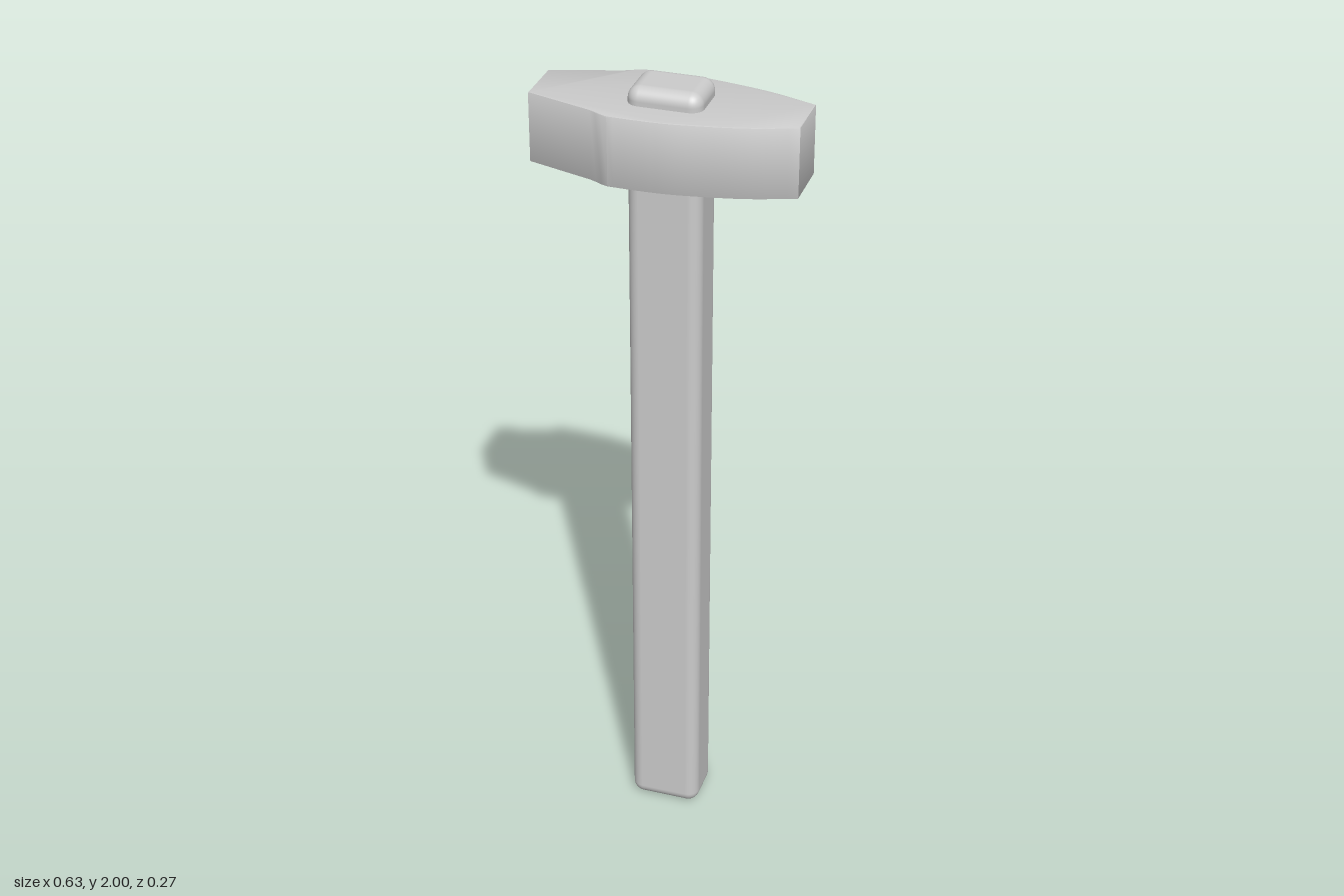
import * as THREE from 'three';
import { RoundedBoxGeometry } from 'three/addons/geometries/RoundedBoxGeometry.js';
import { toCreasedNormals } from 'three/addons/utils/BufferGeometryUtils.js';

const HEAD_BOTTOM = 1.79, HEAD_TOP = 1.96, BEVEL = 0.003;

export function createModel() {
  const group = new THREE.Group();
  const material = new THREE.MeshStandardMaterial({ color: 0xcccccc });

  // Handle: a long rounded bar that pokes out through the head
  const handle = new THREE.Mesh(new RoundedBoxGeometry(0.176, 2, 0.134, 5, 0.03), material);
  handle.name = 'handle';
  handle.position.set(0, 1, -0.003);
  group.add(handle);

  // Head: half outline from the -x face to the +x face, mirrored across the middle
  const cheek = new THREE.CatmullRomCurve3([
    [-0.105, 0.131], [-0.04, 0.132], [0.03, 0.129], [0.1, 0.119], [0.2, 0.099], [0.31, 0.063],
  ].map(([x, y]) => new THREE.Vector3(x, y, 0))).getPoints(24);
  const half = [
    [-0.31, 0.063], [-0.15, 0.111], [-0.135, 0.118], [-0.12, 0.126],
    ...cheek.map((p) => [p.x, p.y]),
  ].map(([x, y]) => new THREE.Vector2(x, y));
  const mirrored = half.map((p) => new THREE.Vector2(p.x, -p.y)).reverse();

  const headGeometry = new THREE.ExtrudeGeometry(new THREE.Shape([...half, ...mirrored]), {
    depth: HEAD_TOP - HEAD_BOTTOM - 2 * BEVEL,
    bevelSize: BEVEL, bevelThickness: BEVEL, bevelSegments: 2,
  });
  headGeometry.rotateX(-Math.PI / 2);
  const head = new THREE.Mesh(toCreasedNormals(headGeometry, 0.45), material);
  head.name = 'hammerHead';
  head.position.set(0, HEAD_BOTTOM + BEVEL, -0.001);
  group.add(head);

  return group;
}
